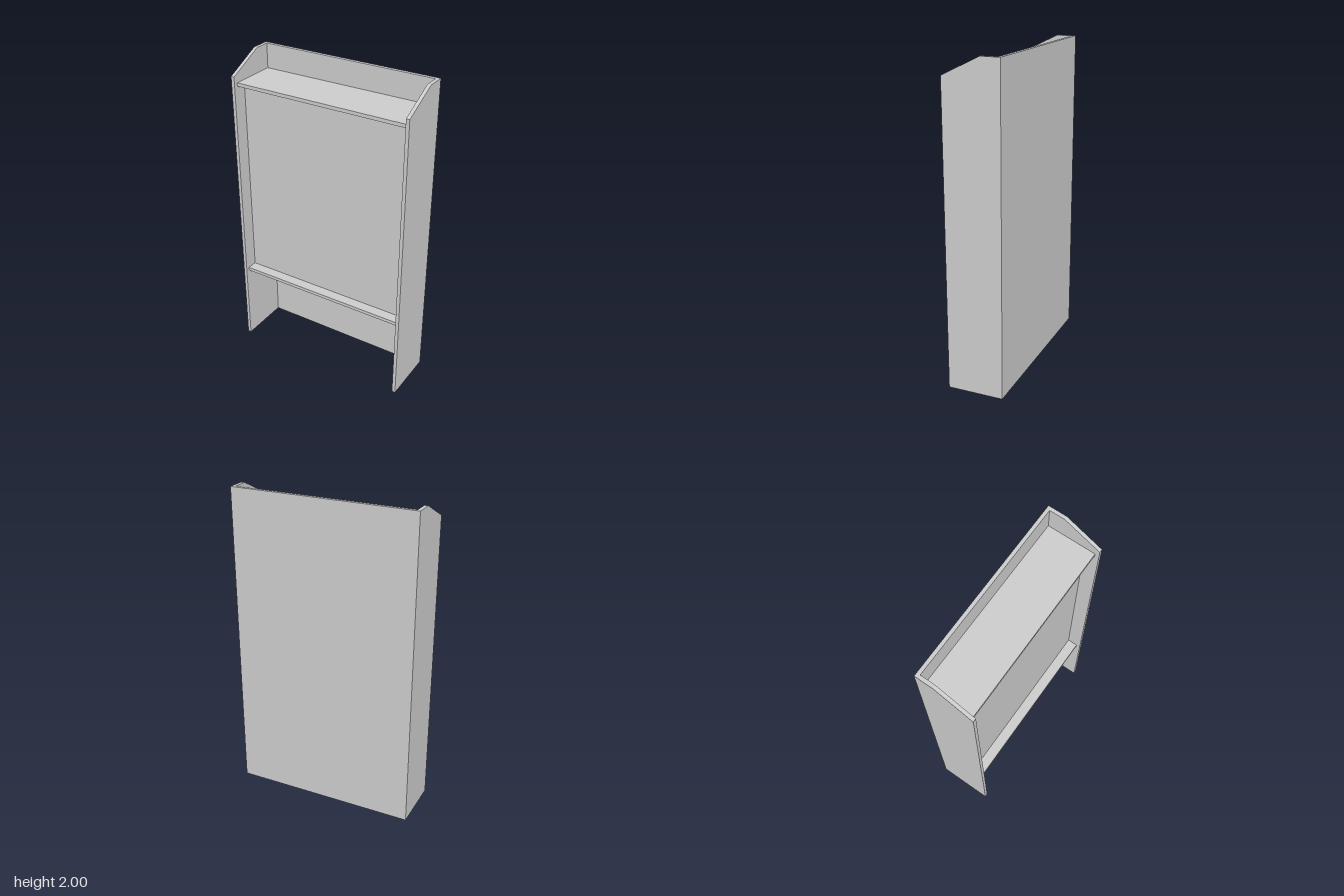
import * as THREE from 'three';

const W = 0.587;  // half width
const D = 0.176;  // half depth
const H = 2;      // height
const T = 0.022;  // board thickness

const material = new THREE.MeshStandardMaterial({ color: 0xcccccc, flatShading: true });

// Box board given by its limits on each axis
function board(name, [x0, x1], [y0, y1], [z0, z1]) {
  const mesh = new THREE.Mesh(new THREE.BoxGeometry(x1 - x0, y1 - y0, z1 - z0), material);
  mesh.position.set((x0 + x1) / 2, (y0 + y1) / 2, (z0 + z1) / 2);
  mesh.name = name;
  return mesh;
}

export function createModel() {
  const group = new THREE.Group();
  group.name = 'shelfCabinet';

  // Side boards with a sloped upper front corner; profile drawn as (-z, y)
  const profile = new THREE.Shape([
    [-D, 0], [D, 0], [D, H], [0.057, H], [-D, 1.887],
  ].map(([x, y]) => new THREE.Vector2(x, y)));
  const sideGeometry = new THREE.ExtrudeGeometry(profile, { depth: T, bevelEnabled: false });
  sideGeometry.rotateY(Math.PI / 2);
  for (const [name, x] of [['leftSide', W - T], ['rightSide', -W]]) {
    const side = new THREE.Mesh(sideGeometry, material);
    side.position.x = x;
    side.name = name;
    group.add(side);
  }

  // Boards fitted between the sides
  const inner = [-W + T, W - T];
  const shelfDepth = [-D + T, 0.151];
  const lowerTop = 0.533;
  const upperBottom = 1.822;
  group.add(
    board('backPanel', inner, [0, H], [-D, -D + T]),
    board('lowerShelf', inner, [lowerTop - T, lowerTop], shelfDepth),
    board('upperShelf', inner, [upperBottom, upperBottom + T], shelfDepth),
    board('frontPanel', inner, [lowerTop, upperBottom], [0.084 - T, 0.084]),
  );
  return group;
}
